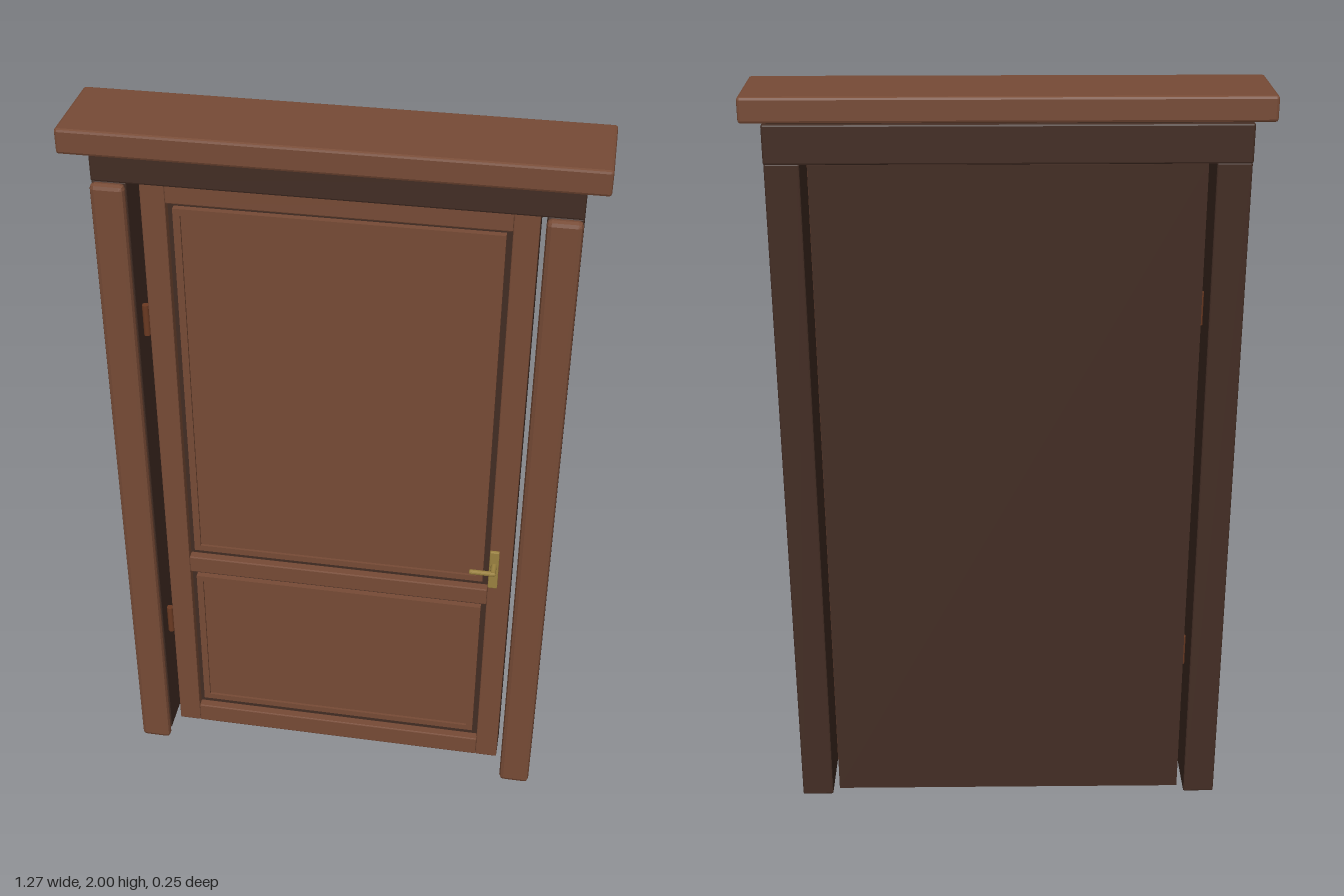
import * as THREE from 'three';
import { RoundedBoxGeometry } from 'three/addons/geometries/RoundedBoxGeometry.js';

const material = (name, color) => {
  const m = new THREE.MeshStandardMaterial({ color });
  m.name = name;
  return m;
};

export function createModel() {
  const wood = material('warm brown wood', 0x774b36);
  const dark = material('dark brown wood', 0x432d24);
  const rust = material('hinge brown', 0x6b3a22);
  const brass = material('brass', 0x9b8240);

  const door = new THREE.Group();
  door.name = 'door';

  // Box given by its limits on each axis, with an optional chamfer
  const block = (name, mat, [x0, x1], [y0, y1], [z0, z1], bevel = 0) => {
    const w = x1 - x0, h = y1 - y0, d = z1 - z0;
    const geo = bevel
      ? new RoundedBoxGeometry(w, h, d, 1, bevel)
      : new THREE.BoxGeometry(w, h, d);
    if (bevel) geo.computeVertexNormals();
    const mesh = new THREE.Mesh(geo, mat);
    mesh.position.set((x0 + x1) / 2, (y0 + y1) / 2, (z0 + z1) / 2);
    mesh.name = name;
    door.add(mesh);
    return mesh;
  };

  // Top: overhanging cornice on a dark frieze
  block('cornice', wood, [-0.637, 0.637], [1.937, 2], [-0.12, 0.127], 0.007);
  block('frieze', dark, [-0.583, 0.583], [1.84, 1.937], [-0.127, 0.06], 0.005);

  // Jambs with a lighter trim board on the front
  for (const [side, s] of [['left', 1], ['right', -1]]) {
    const span = (a, b) => [s * a, s * b].sort((p, q) => p - q);
    block(side + 'Jamb', dark, span(0.498, 0.583), [0.018, 1.84], [-0.116, 0.053], 0.004);
    block(side + 'Trim', wood, span(0.498, 0.583), [0, 1.84], [0.05, 0.08], 0.012);
  }

  // Door leaf: dark core with stiles and rails laid on its front
  const face = [-0.022, 0.005];
  block('doorCore', dark, [-0.482, 0.482], [0.018, 1.83], [-0.088, -0.02]);
  block('leftStile', wood, [0.42, 0.482], [0.018, 1.83], face, 0.003);
  block('rightStile', wood, [-0.482, -0.42], [0.018, 1.83], face, 0.003);
  for (const [name, y] of [['topRail', [1.767, 1.83]], ['middleRail', [0.608, 0.661]], ['bottomRail', [0.018, 0.079]]])
    block(name, wood, [-0.42, 0.42], y, face, 0.003);

  // Panels, each framed by a thin moulding inside a dark groove
  for (const [name, y0, y1] of [['upper', 0.683, 1.751], ['lower', 0.106, 0.587]]) {
    const x = 0.405, b = 0.018, z = [-0.021, -0.003];
    block(name + 'Panel', wood, [-x + b, x - b], [y0 + b, y1 - b], [-0.021, -0.01]);
    block(name + 'MouldingTop', wood, [-x, x], [y1 - b, y1], z);
    block(name + 'MouldingBottom', wood, [-x, x], [y0, y0 + b], z);
    block(name + 'MouldingLeft', wood, [x - b, x], [y0 + b, y1 - b], z);
    block(name + 'MouldingRight', wood, [-x, -x + b], [y0 + b, y1 - b], z);
  }

  // Hinges in the gap between leaf and jamb
  for (const [name, y] of [['lowerHinge', 0.417], ['upperHinge', 1.432]]) {
    const hinge = new THREE.Mesh(new THREE.CylinderGeometry(0.009, 0.009, 0.088, 12), rust);
    hinge.position.set(-0.49, y, 0.002);
    hinge.name = name;
    door.add(hinge);
  }

  // Handle: plate, spindle and lever
  block('handlePlate', brass, [0.421, 0.447], [0.677, 0.803], [0.003, 0.014], 0.003);
  const spindle = new THREE.Mesh(new THREE.CylinderGeometry(0.008, 0.008, 0.04, 12), brass);
  spindle.rotation.x = Math.PI / 2;
  spindle.position.set(0.434, 0.757, 0.03);
  spindle.name = 'handleSpindle';
  door.add(spindle);
  block('handleLever', brass, [0.37, 0.442], [0.751, 0.763], [0.042, 0.054], 0.004);

  return door;
}
